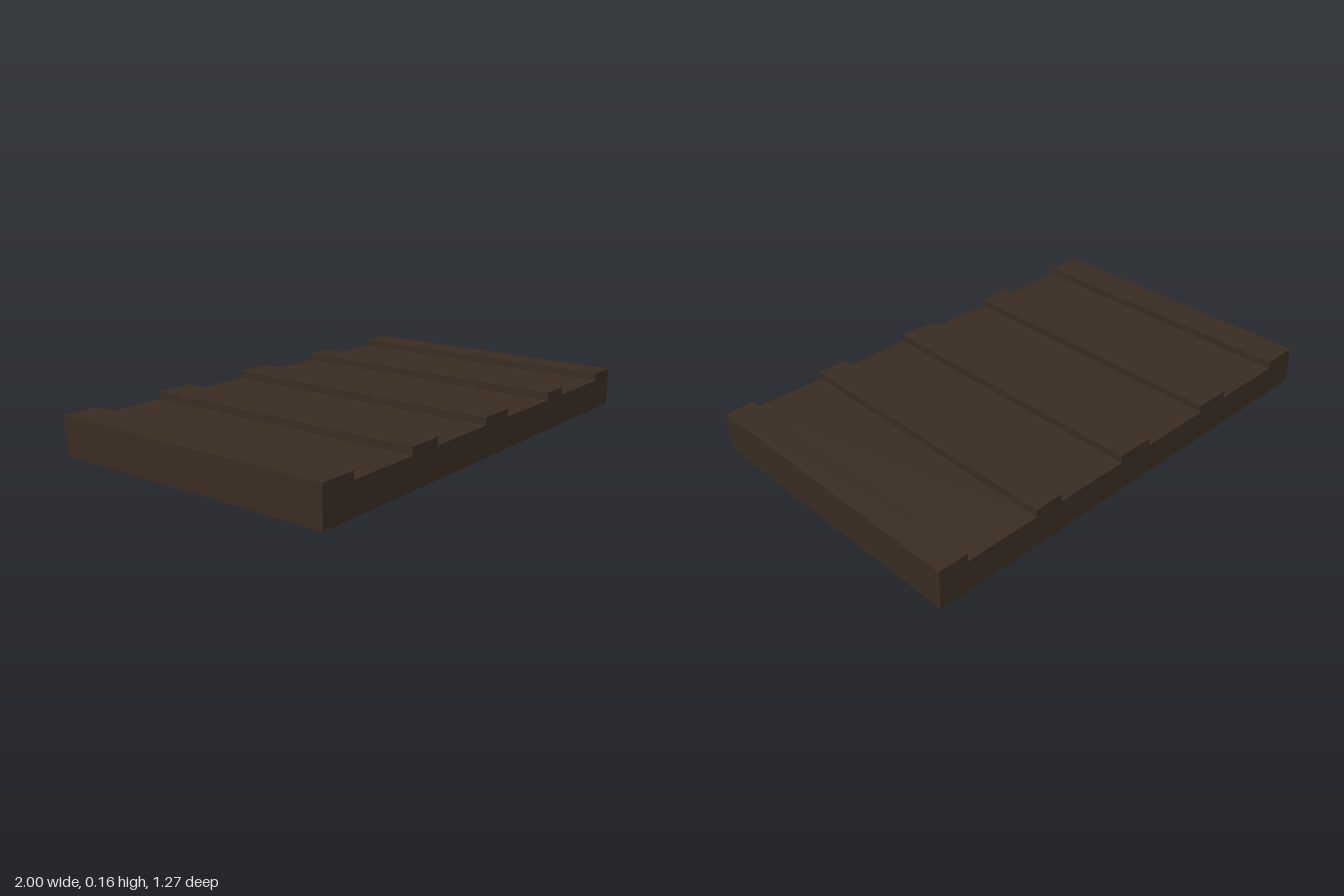
import * as THREE from 'three';

const DEPTH = 1.27;
const FLOOR = 0.128; // height of the sunken boards
const TOP = 0.16; // height of the raised battens
// left and right edge of each batten
const BATTENS = [[-1, -0.845], [-0.525, -0.37], [-0.05, 0.11], [0.43, 0.555], [0.875, 1]];

export function createModel() {
  const model = new THREE.Group();
  model.name = 'battenedPanel';
  const darkWood = new THREE.MeshStandardMaterial({ color: 0x3b2d23 });
  darkWood.name = 'darkWood';

  // End profile: flat underside, stepped top
  const profile = new THREE.Shape();
  profile.moveTo(1, 0);
  for (const [x0, x1] of [...BATTENS].reverse()) {
    if (x1 < 1) profile.lineTo(x1, FLOOR);
    profile.lineTo(x1, TOP);
    profile.lineTo(x0, TOP);
    if (x0 > -1) profile.lineTo(x0, FLOOR);
  }
  profile.lineTo(-1, 0);
  profile.closePath();

  // Panel with battens running front to back
  const geometry = new THREE.ExtrudeGeometry(profile, { depth: DEPTH, bevelEnabled: false });
  geometry.translate(0, 0, -DEPTH / 2);
  const panel = new THREE.Mesh(geometry, darkWood);
  panel.name = 'panel';
  model.add(panel);
  return model;
}
